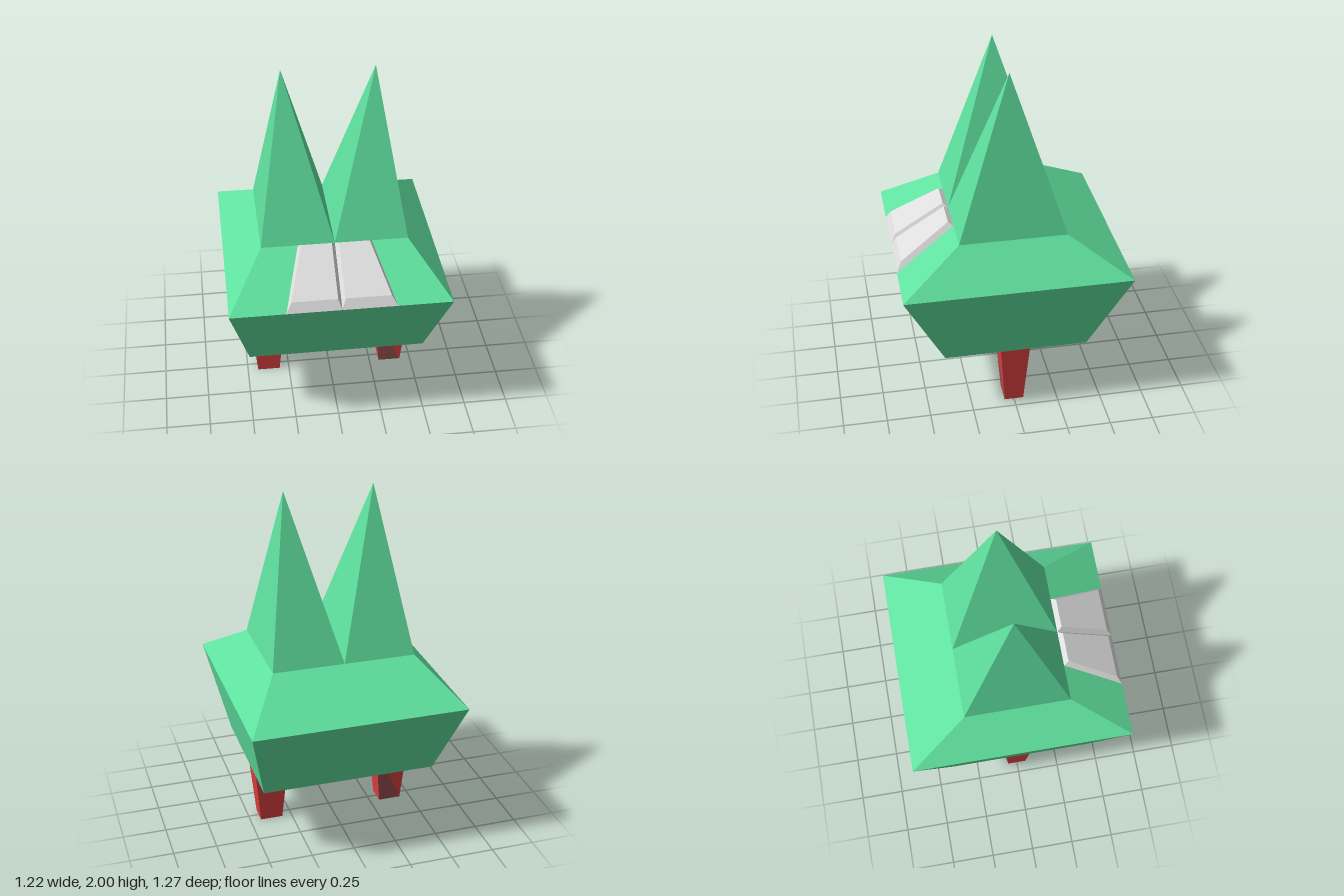
import * as THREE from 'three';

const material = (name, color) => {
  const m = new THREE.MeshStandardMaterial({ color });
  m.name = name;
  return m;
};

// Four corners, counter-clockwise from above. Front edge: x0..x1 at (y, z);
// the back edge may have its own values.
const ring = (x0, x1, y, z, bx0 = x0, bx1 = x1, by = y, bz = -z) => [
  [x0, y, z], [x1, y, z], [bx1, by, bz], [bx0, by, bz],
];

// Mirror a ring in x, keeping its winding
const mirror = (r) => [r[1], r[0], r[3], r[2]].map(([x, y, z]) => [-x, y, z]);

// Faceted solid through a stack of rings, closed at both ends
function loft(rings) {
  const pos = [];
  const quad = (a, b, c, d) => pos.push(...a, ...b, ...d, ...b, ...c, ...d);
  for (let k = 0; k < rings.length - 1; k++) {
    const lo = rings[k], hi = rings[k + 1];
    for (let i = 0; i < 4; i++) {
      const j = (i + 1) % 4;
      quad(lo[i], lo[j], hi[j], hi[i]);
    }
  }
  quad(...rings[rings.length - 1]);
  quad(...[...rings[0]].reverse());
  const g = new THREE.BufferGeometry();
  g.setAttribute('position', new THREE.Float32BufferAttribute(pos, 3));
  g.computeVertexNormals();
  return g;
}

export function createModel() {
  const model = new THREE.Group();
  const green = material('green', 0x5fe09e);
  const red = material('red', 0xdc3f3f);
  const brown = material('dull red', 0x964e4e);
  const grey = material('light grey', 0xdddddd);

  const add = (name, geometry, mat) => {
    const mesh = new THREE.Mesh(geometry, mat);
    mesh.name = name;
    model.add(mesh);
    return mesh;
  };

  // Body: flared hull with a sloping roof
  add('body', loft([
    ring(-0.5, 0.5, 0.4, 0.405),
    ring(-0.61, 0.61, 0.87, 0.635),
    ring(-0.408, 0.408, 1.08, 0.302),
  ]), green);

  // Ears and front teeth, mirrored
  const ear = [ring(0, 0.408, 1.08, 0.302), ring(0.255, 0.255, 2, 0)];
  const tooth = [
    ring(0, 0.303, 0.87, 0.635, 0, 0.205, 1.08, 0.302),
    ring(0.02, 0.272, 0.925, 0.607, 0.02, 0.19, 1.1, 0.33),
  ];
  add('leftEar', loft(ear), green);
  add('rightEar', loft(ear.map(mirror)), green);
  add('leftTooth', loft(tooth), grey);
  add('rightTooth', loft(tooth.map(mirror)), grey);

  // Tapered legs; the first triangle is a dull patch. The right one is turned half round
  const leg = loft([ring(0.307, 0.438, 0, 0.055), ring(0.27, 0.475, 0.4, 0.085)]);
  leg.addGroup(0, 3, 1);
  leg.addGroup(3, leg.attributes.position.count - 3, 0);
  add('leftLeg', leg, [red, brown]);
  add('rightLeg', leg, [red, brown]).rotation.y = Math.PI;

  return model;
}
